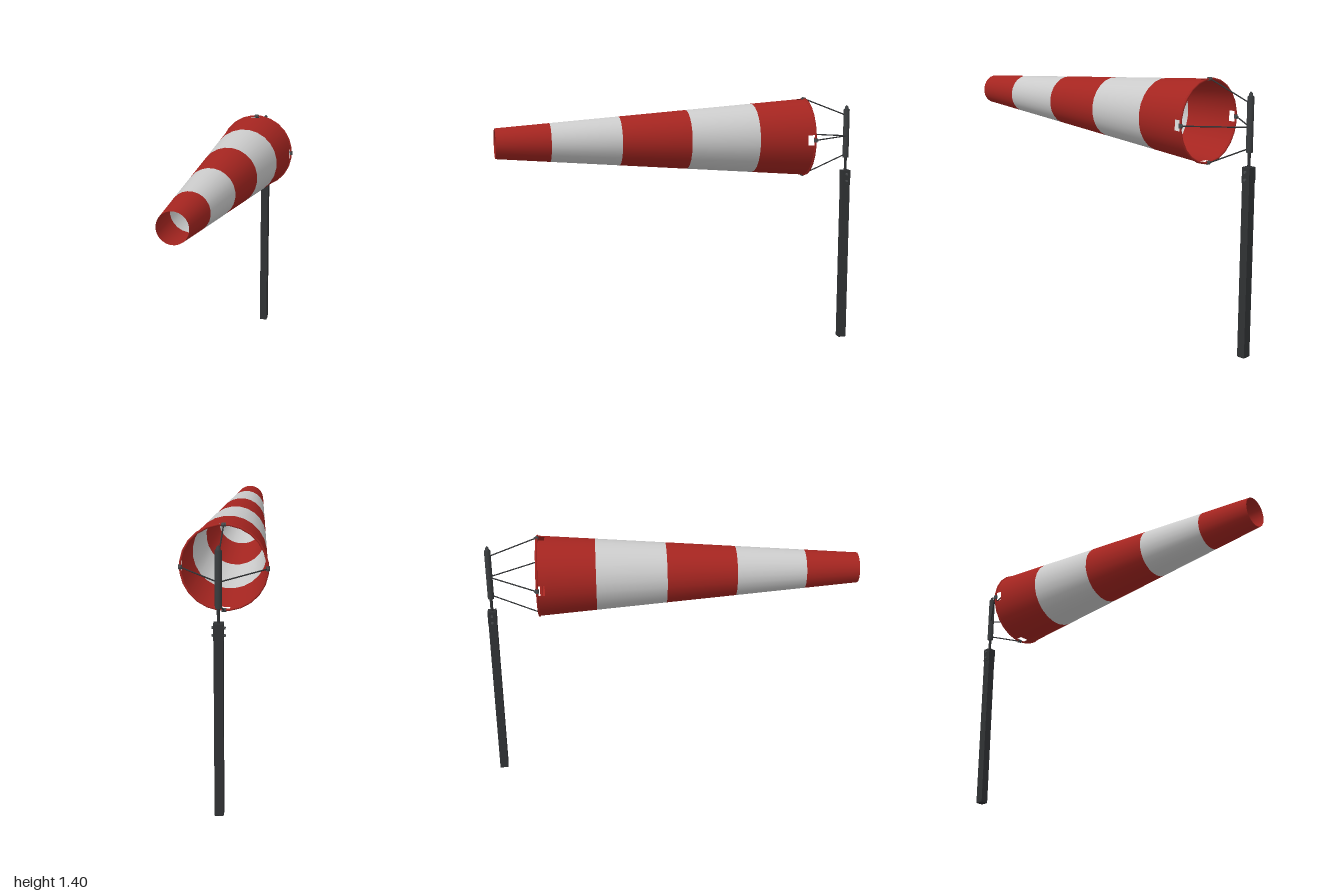
import * as THREE from 'three';

const SIDES = 24, STEP = (Math.PI * 2) / SIDES;
const AXIS_Y = 1.178, MAST_Z = -0.976;
const MOUTH_Z = -0.715, NOTCH_Z = -0.675;

const mat = (color, opts = {}) => new THREE.MeshStandardMaterial({ color, ...opts });
const sockRadius = z => THREE.MathUtils.mapLinear(z, MOUTH_Z, 1, 0.213, 0.081);

export function createModel() {
  const root = new THREE.Group();
  root.name = 'windsock';
  const red = mat(0xa52520, { side: THREE.DoubleSide });
  const white = mat(0xcccccc, { side: THREE.DoubleSide });
  const dark = mat(0x303234);
  const steel = mat(0x484b4d);

  const add = (name, geometry, material, x, y, z, parent = root) => {
    const m = new THREE.Mesh(geometry, material);
    m.name = name;
    m.position.set(x, y, z);
    parent.add(m);
    return m;
  };

  // Thin round bar between two points
  const bar = (name, a, b, r, material) => {
    const d = b.clone().sub(a);
    const mid = a.clone().add(b).multiplyScalar(0.5);
    const m = add(name, new THREE.CylinderGeometry(r, r, d.length(), 8), material, mid.x, mid.y, mid.z);
    m.quaternion.setFromUnitVectors(new THREE.Vector3(0, 1, 0), d.normalize());
  };

  // Open conical fabric strip between two z positions
  const strip = (name, z0, z1, material, start = STEP / 2, segs = SIDES) => {
    const g = new THREE.CylinderGeometry(sockRadius(z1), sockRadius(z0), z1 - z0, segs, 1, true, start, segs * STEP);
    g.rotateX(Math.PI / 2);
    add(name, g, material, 0, AXIS_Y, (z0 + z1) / 2);
  };

  // Striped sock
  const stops = [NOTCH_Z, -0.41, -0.037, 0.336, 0.71, 1];
  for (let i = 0; i < 5; i++) strip('sockStripe', stops[i], stops[i + 1], i % 2 ? white : red);

  // Mouth hem with a notch on each of the four axes
  for (let i = 0; i < 4; i++) strip('mouthHem', MOUTH_Z, NOTCH_Z, red, STEP / 2 + i * Math.PI / 2, 5);

  // Mouth hoop
  const hoop = add('mouthHoop', new THREE.TorusGeometry(0.212, 0.006, 8, SIDES), red, 0, AXIS_Y, MOUTH_Z);
  hoop.rotation.z = STEP / 2;

  // Hoop clips and stays running back to the mast sleeve
  for (let i = 0; i < 4; i++) {
    const a = i * Math.PI / 2, cx = Math.round(Math.cos(a)), cy = Math.round(Math.sin(a));
    const clip = new THREE.Group();
    clip.name = 'hoopClip';
    clip.position.set(cx * 0.212, AXIS_Y + cy * 0.212, MOUTH_Z);
    clip.rotation.z = a;
    root.add(clip);
    const collar = add('clipCollar', new THREE.CylinderGeometry(0.0095, 0.0095, 0.022, 10), steel, 0, 0, 0, clip);
    collar.scale.z = 1.05;
    add('clipEye', new THREE.SphereGeometry(0.008, 10, 8), steel, 0, 0, -0.008, clip);
    bar('stay',
      new THREE.Vector3(cx * 0.212, AXIS_Y + cy * 0.212, MOUTH_Z - 0.006),
      new THREE.Vector3(cx * 0.012, AXIS_Y + cy * 0.108 + (cy > 0 ? 0.012 : 0), MAST_Z + 0.012),
      0.0035, dark);
  }

  // Square pole with bevelled edges
  const h = 0.019;
  const square = new THREE.Shape([[-h, -h], [h, -h], [h, h], [-h, h]].map(p => new THREE.Vector2(...p)));
  const poleGeo = new THREE.ExtrudeGeometry(square, {
    depth: 0.924, bevelSize: 0.003, bevelThickness: 0.003, bevelSegments: 1,
  });
  poleGeo.rotateX(-Math.PI / 2);
  add('pole', poleGeo, dark, 0, 0.003, MAST_Z);

  // Pole head bracket and its cross bolts
  add('headBracket', new THREE.BoxGeometry(0.048, 0.08, 0.046), dark, 0, 0.943, MAST_Z);
  for (const y of [0.922, 0.96]) {
    const bolt = add('crossBolt', new THREE.CylinderGeometry(0.007, 0.007, 0.066, 6), steel, 0, y, MAST_Z);
    bolt.rotation.z = Math.PI / 2;
  }

  // Spindle and turning sleeve with a pointed cap
  add('spindle', new THREE.CylinderGeometry(0.008, 0.008, 0.12, 12), dark, 0, 1.03, MAST_Z);
  const profile = [[0, 1.055], [0.017, 1.055], [0.017, 1.327], [0.009, 1.335], [0.009, 1.343], [0, 1.353]];
  const sleeve = new THREE.LatheGeometry(profile.map(p => new THREE.Vector2(...p)), 16);
  add('turningSleeve', sleeve, mat(0x3a3d3f), 0, 0, MAST_Z);

  return root;
}
